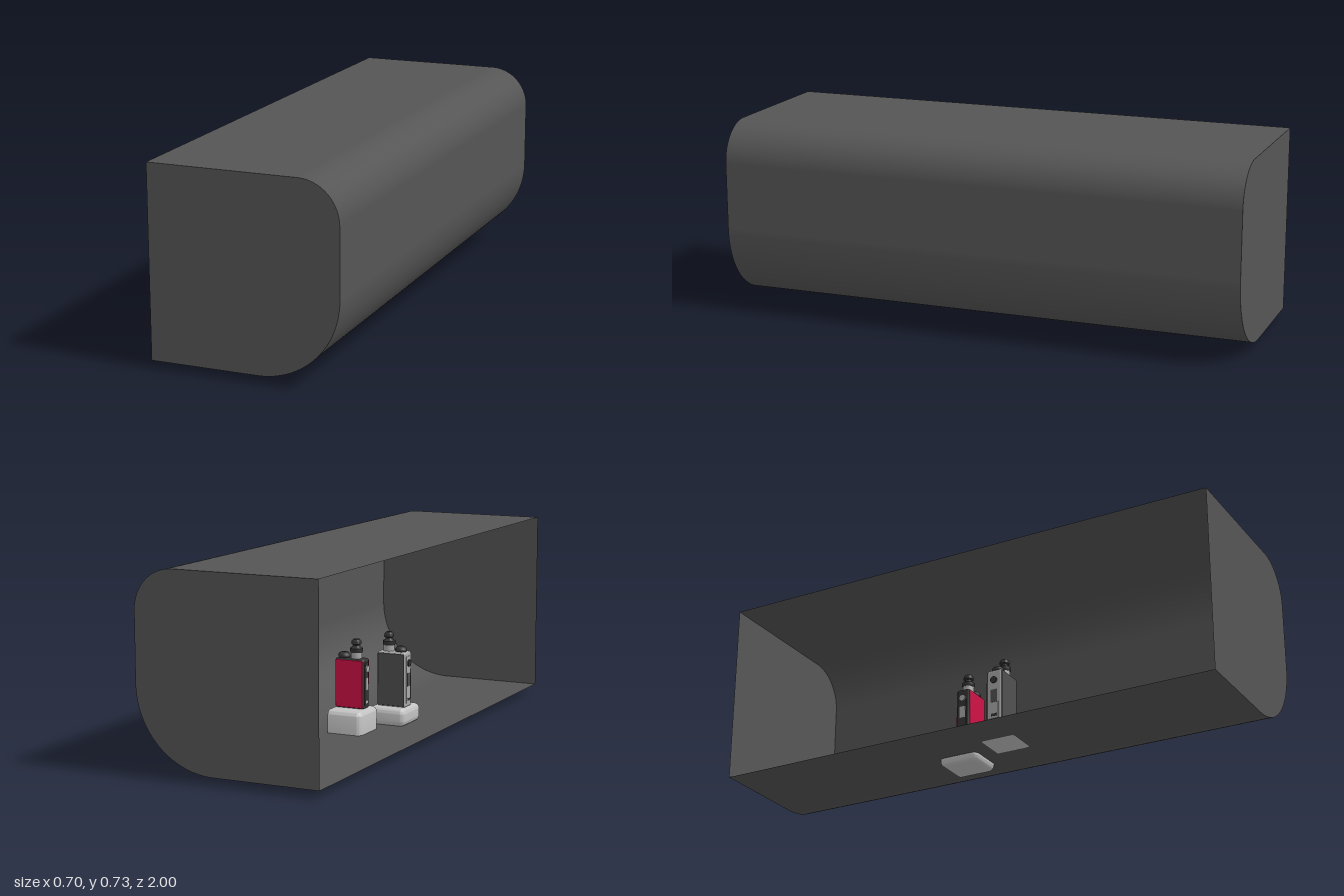
import * as THREE from 'three';
import { toCreasedNormals } from 'three/addons/utils/BufferGeometryUtils.js';
import { RoundedBoxGeometry } from 'three/addons/geometries/RoundedBoxGeometry.js';

function material(name, color, side = THREE.FrontSide) {
  const m = new THREE.MeshStandardMaterial({ color, side });
  m.name = name;
  return m;
}

function add(parent, name, geometry, mat, x = 0, y = 0, z = 0) {
  const mesh = new THREE.Mesh(geometry, mat);
  mesh.name = name;
  mesh.position.set(x, y, z);
  parent.add(mesh);
  return mesh;
}

// Open display niche: curved sheet along z, closed by two flat ends
function createNiche(mat) {
  const niche = new THREE.Group();
  niche.name = 'displayNiche';
  const outline = new THREE.Shape();
  outline.moveTo(-0.352, 0.028);
  outline.lineTo(0.05, 0.028);
  outline.absarc(0.05, 0.33, 0.302, -Math.PI / 2, 0, false);
  outline.lineTo(0.352, 0.582);
  outline.absarc(0.202, 0.582, 0.15, 0, Math.PI / 2, false);
  outline.lineTo(-0.352, 0.732);

  const points = outline.getPoints(20);
  const n = points.length;
  const sheet = new THREE.PlaneGeometry(1, 1, n - 1, 1);
  const pos = sheet.attributes.position;
  for (let row = 0; row < 2; row++) {
    points.forEach((p, i) => pos.setXYZ(row * n + i, p.x, p.y, row ? -1 : 1));
  }
  sheet.computeVertexNormals();
  add(niche, 'curvedWall', sheet, mat);
  for (const z of [-1, 1]) add(niche, 'endWall', new THREE.ShapeGeometry(outline, 20), mat, 0, 0, z);
  return niche;
}

// Pedestal block: rounded everywhere except its flat +x face
function pedestalGeometry(w, h, d, r) {
  const g = new RoundedBoxGeometry(w + r, h, d, 5, r);
  const pos = g.attributes.position;
  const limit = (w + r) / 2 - r;
  for (let i = 0; i < pos.count; i++) pos.setX(i, Math.min(pos.getX(i), limit));
  g.translate(r / 2, h / 2, 0);
  return toCreasedNormals(g, 0.6);
}

// Tank: metal base, dark barrel with a waist, domed mouthpiece
function createTank(metal, dark) {
  const tank = new THREE.Group();
  tank.name = 'tank';
  add(tank, 'tankBase', new THREE.CylinderGeometry(0.021, 0.021, 0.022, 24), metal, 0, 0.011, 0);
  const profile = [[0.022, 0.022], [0.024, 0.026], [0.024, 0.038], [0.015, 0.044], [0.013, 0.05],
    [0.019, 0.054], [0.018, 0.066], [0.012, 0.072], [0, 0.073]];
  const barrel = new THREE.LatheGeometry(profile.map(([x, y]) => new THREE.Vector2(x, y)), 24);
  add(tank, 'mouthpiece', toCreasedNormals(barrel, 0.7), dark);
  return tank;
}

// Pocket device: body, coloured side panels, controls on the -x edge, tank and cap on top
function createDevice(name, o) {
  const device = new THREE.Group();
  device.name = name;
  const { w, h, d } = o;
  add(device, 'body', new RoundedBoxGeometry(w, h, d, 4, 0.009), o.body, 0, h / 2, 0);
  for (const s of [-1, 1]) {
    add(device, 'sidePanel', new RoundedBoxGeometry(w - 0.006, h - 0.01, 0.006, 2, 0.003),
      o.panel, 0, h / 2, s * (d / 2));
  }
  const edge = -w / 2;
  add(device, 'controlStrip', new THREE.BoxGeometry(0.004, h * 0.85, d * 0.6), o.strip, edge, h * 0.5, 0);
  const button = add(device, 'fireButton', new THREE.CylinderGeometry(0.013, 0.013, 0.01, 20),
    o.control, edge - 0.002, h * 0.8, 0);
  button.rotation.z = Math.PI / 2;
  add(device, 'screen', new THREE.BoxGeometry(0.006, h * 0.24, d * 0.45), o.screen, edge, h * 0.5, 0);
  add(device, 'chargePort', new THREE.BoxGeometry(0.006, 0.01, d * 0.35), o.control, edge, h * 0.14, 0);
  const tank = createTank(o.metal, o.dark);
  tank.position.set(o.tankX, h, 0);
  device.add(tank);
  const cap = [[0.02, 0], [0.023, 0.004], [0.023, 0.012], [0.016, 0.019], [0, 0.02]];
  add(device, 'fillCap', new THREE.LatheGeometry(cap.map(([x, y]) => new THREE.Vector2(x, y)), 24),
    o.dark, o.capX, h, 0);
  return device;
}

export function createModel() {
  const model = new THREE.Group();
  model.name = 'displayCase';
  const shell = material('shell grey', 0x555555, THREE.DoubleSide);
  const stone = material('pedestal grey', 0xc2c2c2);
  const metal = material('silver', 0xa8a8a8);
  const dark = material('charcoal', 0x333333);
  const red = material('crimson', 0xcf1045);
  const slate = material('slate panel', 0x505050);

  model.add(createNiche(shell));

  add(model, 'pedestal', pedestalGeometry(0.135, 0.115, 0.16, 0.022), stone, -0.053, 0, -0.132);
  add(model, 'pedestal', pedestalGeometry(0.135, 0.07, 0.16, 0.022), stone, -0.135, 0.026, 0.075);

  const redDevice = createDevice('redDevice', {
    w: 0.118, h: 0.19, d: 0.052, body: dark, panel: red, strip: dark, control: metal, screen: metal,
    metal, dark, tankX: -0.018, capX: 0.032,
  });
  redDevice.position.set(-0.043, 0.113, -0.121);
  model.add(redDevice);

  const silverDevice = createDevice('silverDevice', {
    w: 0.116, h: 0.212, d: 0.062, body: metal, panel: slate, strip: metal, control: dark, screen: slate,
    metal, dark, tankX: 0.022, capX: -0.028,
  });
  silverDevice.position.set(-0.132, 0.094, 0.062);
  model.add(silverDevice);

  return model;
}
